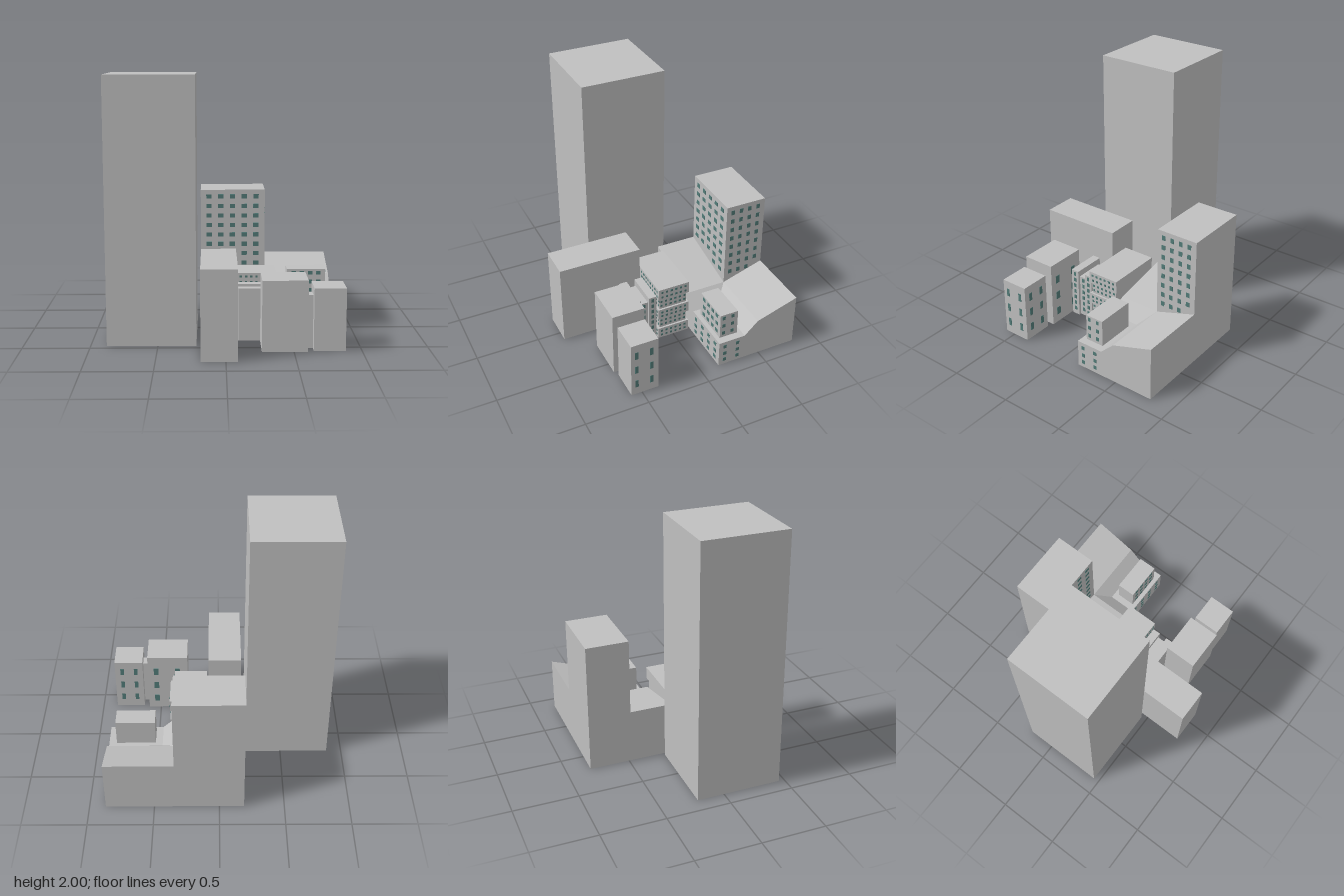
import * as THREE from 'three';

export function createModel() {
  const model = new THREE.Group();
  model.name = 'cityBlock';
  const concrete = new THREE.MeshStandardMaterial({ color: 0xbfbfbf });
  concrete.name = 'concrete';
  const glass = new THREE.MeshStandardMaterial({ color: 0x527b78 });
  glass.name = 'window glass';

  // Box given by its minimum and maximum on each axis
  function block(name, x0, x1, y0, y1, z0, z1) {
    const mesh = new THREE.Mesh(new THREE.BoxGeometry(x1 - x0, y1 - y0, z1 - z0), concrete);
    mesh.position.set((x0 + x1) / 2, (y0 + y1) / 2, (z0 + z1) / 2);
    mesh.name = name;
    model.add(mesh);
  }

  // Grid of thin window plates on a wall facing along 'axis' at coordinate 'at'
  function windows(name, axis, at, across, heights, w, h, keep = () => true) {
    const group = new THREE.Group();
    group.name = name;
    const t = 0.005;
    const geo = axis === 'x' ? new THREE.BoxGeometry(t, h, w) : new THREE.BoxGeometry(w, h, t);
    for (const a of across) {
      for (const y of heights) {
        if (!keep(a, y)) continue;
        const pane = new THREE.Mesh(geo, glass);
        pane.name = 'window';
        if (axis === 'x') pane.position.set(at, y, a);
        else pane.position.set(a, y, at);
        group.add(pane);
      }
    }
    model.add(group);
  }

  // n evenly spaced values from a to b
  const spread = (a, b, n) => Array.from({ length: n }, (_, i) => a + (b - a) * i / (n - 1));

  // Plain towers
  block('tallTower', -0.88, -0.215, 0, 2, -0.21, 0.455);
  block('longBlock', -0.18, 0.085, 0, 0.67, 0.145, 0.81);

  // Twin blocks with a connecting passage
  block('middleBlock', 0.265, 0.6, 0, 0.535, 0.345, 0.605);
  block('passage', 0.6, 0.645, 0, 0.405, 0.435, 0.52);
  block('cornerBlock', 0.645, 0.88, 0, 0.47, 0.365, 0.585);
  const twinRows = spread(0.1, 0.37, 3);
  windows('cornerSideWindows', 'x', 0.88, [0.42, 0.54], twinRows, 0.026, 0.065);
  windows('cornerBackWindows', 'z', 0.365, [0.705, 0.82], twinRows, 0.03, 0.065);
  windows('middleBackWindows', 'z', 0.345, [0.35, 0.53], spread(0.1, 0.39, 3), 0.04, 0.065);

  // Three thin slabs side by side
  const slabs = [
    [0.1, 0.37, 0.405, 0.135, 0.2, 7],
    [0.12, 0.35, 0.355, 0.2, 0.268, 6],
    [0.1, 0.37, 0.405, 0.268, 0.335, 7],
  ];
  for (const [x0, x1, h, z0, z1, n] of slabs) {
    block('slab', x0, x1, 0, h, z0, z1);
    windows('slabWindows', 'x', x1, [(z0 + z1) / 2], spread(0.055, h - 0.03, n), 0.022, 0.032);
  }

  // Tiered office: wide and narrow storeys alternate
  const levels = [0, 0.093, 0.188, 0.28, 0.375, 0.475];
  for (let i = 0; i < 5; i++) {
    const inset = i % 2 ? 0.015 : 0;
    const y0 = levels[i], y1 = levels[i + 1];
    const rows = [y0 + 0.028, y1 - 0.028];
    block('officeTier', -0.065 + inset, 0.395 - inset, y0, y1, -0.135 + inset, 0.128 - inset);
    windows('officeSideWindows', 'x', 0.395 - inset, spread(-0.103, 0.097, 6), rows, 0.018, 0.018);
    windows('officeFrontWindows', 'z', 0.128 - inset, spread(-0.035, 0.365, 11), rows, 0.018, 0.018);
  }

  // Apartment tower rising from the hill
  block('apartmentTower', -0.19, 0.34, 0, 1.03, -0.815, -0.48);
  const floors = spread(0.414, 0.975, 8);
  windows('apartmentFrontWindows', 'z', -0.48, spread(-0.122, 0.267, 5), floors, 0.045, 0.035,
    (x, y) => y > 0.36 + (0.34 - x) * 0.21);
  windows('apartmentSideWindows', 'x', 0.34, spread(-0.755, -0.532, 4), floors, 0.03, 0.038,
    (z, y) => y > 0.335 + (-0.48 - z) * 0.33);

  // Hill: two sloping arms that fall to a lower terrace
  const L = -0.19, R = 0.875, B = -0.815, F = -0.15;
  const leftBack = [L, 0.43, -0.48], leftFront = [L, 0.43, F];
  const inner = [0.34, 0.32, -0.48], innerFront = [0.34, 0.32, F], innerRight = [R, 0.32, -0.48];
  const backMid = [0.34, 0.43, B], backRight = [R, 0.43, B];
  const foot = [0.45, 0.215, -0.37], footFront = [0.45, 0.215, F];
  const footRight = [R, 0.215, -0.37], terraceCorner = [R, 0.215, F];
  const faces = [
    [leftBack, leftFront, innerFront, inner],
    [backMid, inner, innerRight, backRight],
    [inner, innerFront, footFront, foot],
    [inner, foot, footRight, innerRight],
    [foot, footFront, terraceCorner, footRight],
    [[L, 0, F], [R, 0, F], terraceCorner, footFront, innerFront, leftFront],
    [[R, 0, F], [R, 0, B], backRight, innerRight, footRight, terraceCorner],
    [[L, 0, -0.48], [L, 0, F], leftFront, leftBack],
    [[R, 0, B], [0.34, 0, B], backMid, backRight],
    [[L, 0, B], [R, 0, B], [R, 0, F], [L, 0, F]],
  ];
  const points = [];
  for (const f of faces) {
    for (let i = 1; i < f.length - 1; i++) points.push(...f[0], ...f[i], ...f[i + 1]);
  }
  const hillGeo = new THREE.BufferGeometry();
  hillGeo.setAttribute('position', new THREE.Float32BufferAttribute(points, 3));
  hillGeo.computeVertexNormals();
  const hill = new THREE.Mesh(hillGeo, concrete);
  hill.name = 'hill';
  model.add(hill);

  // Terrace house with windows on its walls and on the terrace walls below
  block('terraceHouse', 0.505, 0.815, 0.215, 0.427, -0.335, -0.185);
  const houseRows = [0.255, 0.325, 0.397], wallRows = [0.045, 0.105, 0.17];
  windows('houseSideWindows', 'x', 0.815, [-0.29, -0.215], houseRows, 0.025, 0.03);
  windows('houseFrontWindows', 'z', -0.185, spread(0.56, 0.76, 4), houseRows, 0.035, 0.03);
  windows('terraceSideWindows', 'x', R, [-0.31, -0.2], wallRows, 0.027, 0.03);
  windows('terraceFrontWindows', 'z', F, spread(0.5, 0.81, 4), wallRows, 0.035, 0.03);

  return model;
}
